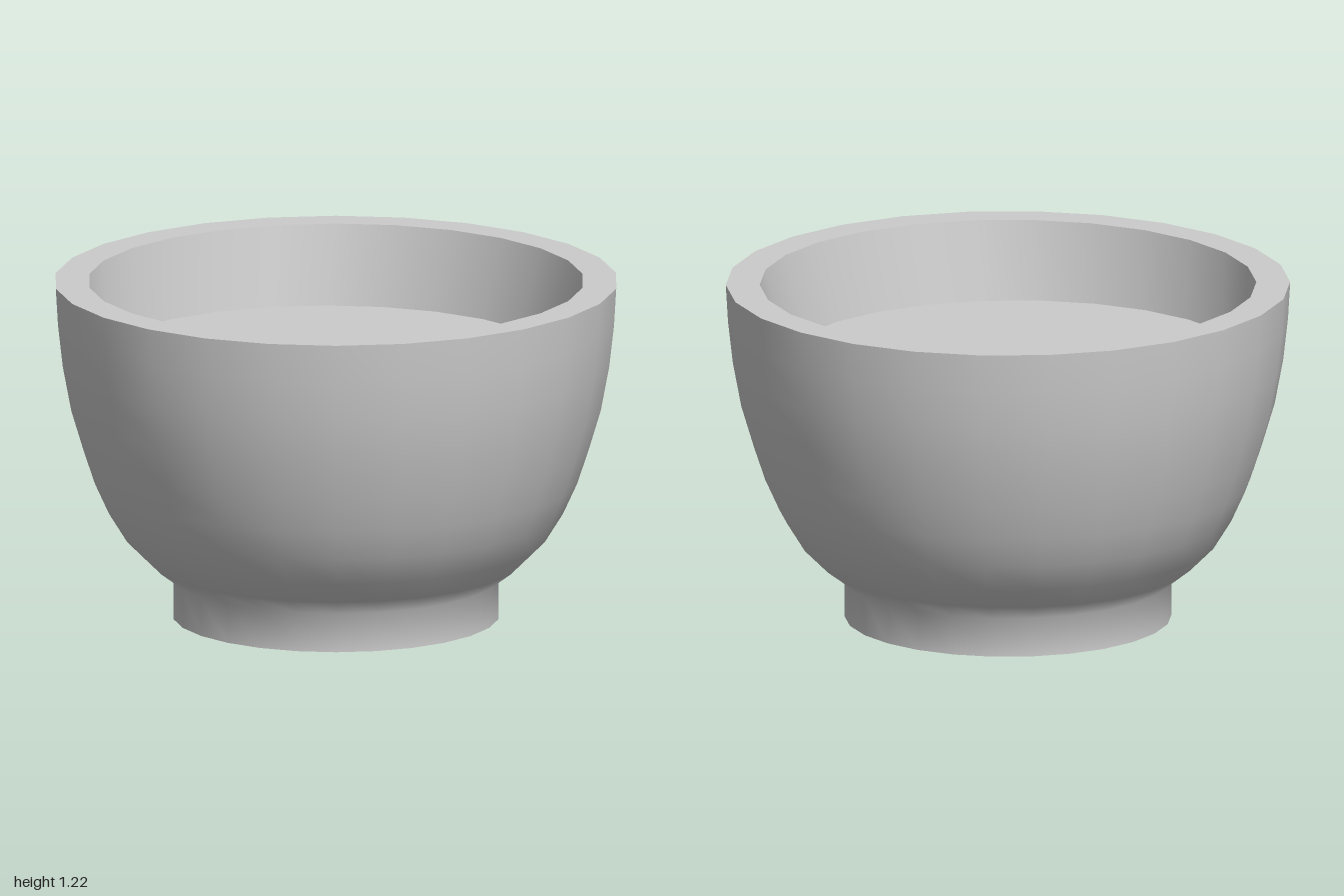
import * as THREE from 'three';

const SIDES = 26;
const HEIGHT = 1.215;
const FILL_Y = 0.93;
const RIM_R = 0.88;
const FILL_R = 0.83;
const FILL_X = -0.03; // the fill sits slightly off centre
const FILL_Z = 0.01;
const FOOT_R = 0.58;

export function createModel() {
  const group = new THREE.Group();
  const material = new THREE.MeshStandardMaterial({ color: 0xcccccc });

  const add = (name, geometry) => {
    const mesh = new THREE.Mesh(geometry, material);
    mesh.name = name;
    group.add(mesh);
    return mesh;
  };
  // quarter-turn start puts a corner on +x and -x
  const lathe = (profile) => new THREE.LatheGeometry(
    profile.map(([r, y]) => new THREE.Vector2(r, y)), SIDES, Math.PI / 2);

  // Outer shell: straight foot flowing into the rounded bowl
  add('bowlShell', lathe([
    [FOOT_R, 0], [FOOT_R, 0.14], [0.66, 0.2], [0.745, 0.285], [0.81, 0.39],
    [0.86, 0.5], [0.9, 0.62], [0.945, 0.77], [0.975, 0.93], [0.992, 1.08], [1, HEIGHT],
  ]));

  // Flat rim
  add('rim', new THREE.RingGeometry(RIM_R, 1, SIDES)
    .rotateX(-Math.PI / 2).translate(0, HEIGHT, 0));

  // Inner wall, narrowing down to the fill
  const wall = lathe([[RIM_R, HEIGHT], [FILL_R, FILL_Y]]);
  const pos = wall.attributes.position;
  for (let i = 0; i < pos.count; i++) {
    if (pos.getY(i) < HEIGHT - 0.1) {
      pos.setXYZ(i, pos.getX(i) + FILL_X, FILL_Y, pos.getZ(i) + FILL_Z);
    }
  }
  wall.computeBoundingSphere();
  add('innerWall', wall);

  // Flat surface inside the bowl
  add('fillSurface', new THREE.CircleGeometry(FILL_R, SIDES)
    .rotateX(-Math.PI / 2).translate(FILL_X, FILL_Y, FILL_Z));

  // Underside of the foot
  add('footBase', new THREE.CircleGeometry(FOOT_R, SIDES).rotateX(Math.PI / 2));

  return group;
}
